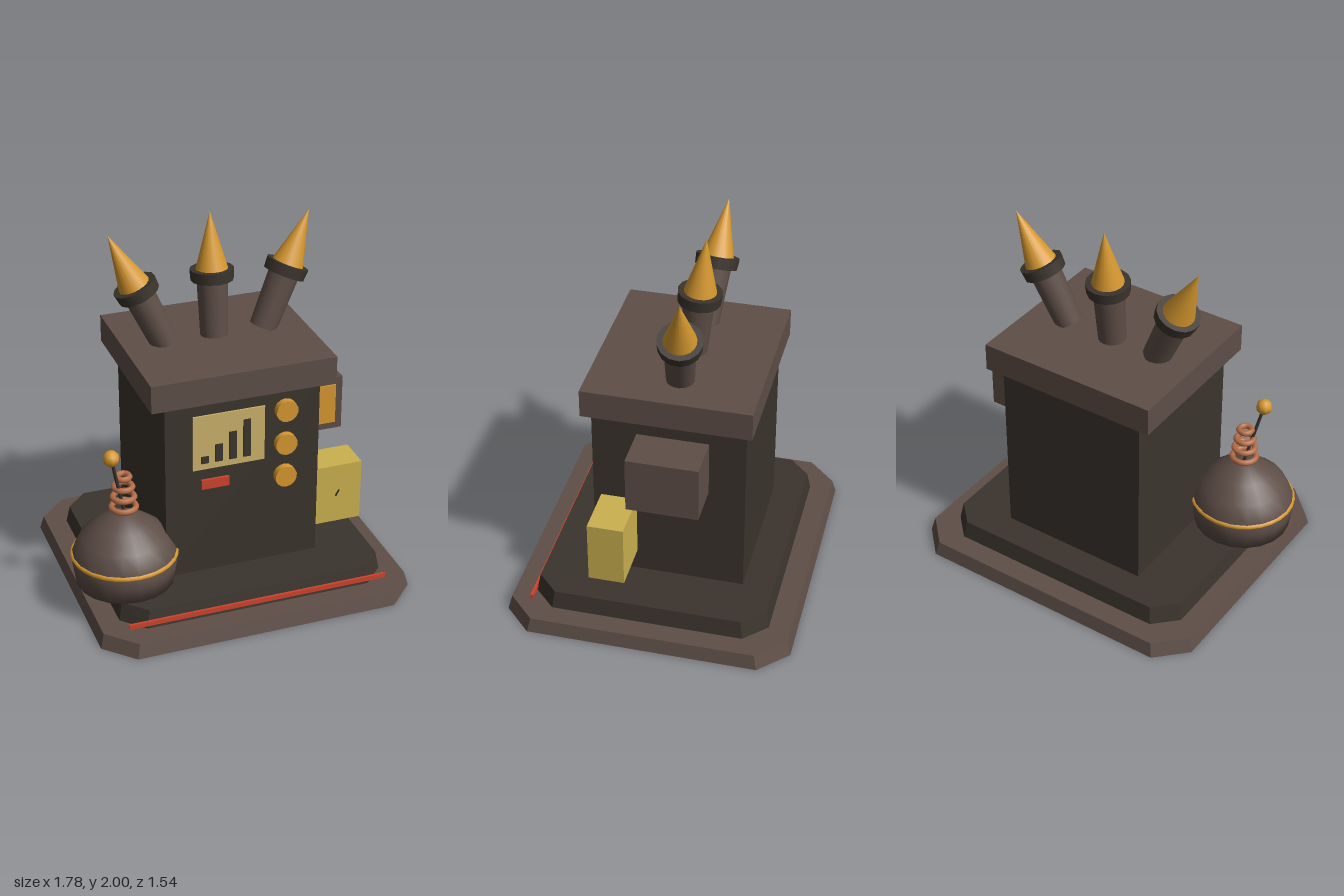
import * as THREE from 'three';

const mat = (name, color) => {
  const m = new THREE.MeshStandardMaterial({ color });
  m.name = name;
  return m;
};

export function createModel() {
  const brown = mat('brown metal', 0x5e4e47);
  const dark = mat('dark metal', 0x3b342d);
  const amber = mat('amber', 0xd6982f);
  const yellow = mat('yellow', 0xcab14e);
  const cream = mat('screen cream', 0xcbb26a);
  const red = mat('red', 0xcc432c);
  const copper = mat('copper', 0xb87049);

  const root = new THREE.Group();
  const add = (name, geo, material, x = 0, y = 0, z = 0, parent = root) => {
    const m = new THREE.Mesh(geo, material);
    m.name = name;
    m.position.set(x, y, z);
    parent.add(m);
    return m;
  };
  // Box given by its minimum and maximum corners
  const box = (name, material, [x0, y0, z0], [x1, y1, z1]) =>
    add(name, new THREE.BoxGeometry(x1 - x0, y1 - y0, z1 - z0), material,
      (x0 + x1) / 2, (y0 + y1) / 2, (z0 + z1) / 2);

  // Plinth tier: rectangle with cut corners, narrowing towards the top
  const tier = (name, material, hx, hz, cut, y, h, inset) => {
    const s = new THREE.Shape([
      [-hx + cut, -hz], [hx - cut, -hz], [hx, -hz + cut], [hx, hz - cut],
      [hx - cut, hz], [-hx + cut, hz], [-hx, hz - cut], [-hx, -hz + cut],
    ].map(([a, b]) => new THREE.Vector2(a, b)));
    const g = new THREE.ExtrudeGeometry(s, { depth: h, bevelEnabled: false });
    g.rotateX(-Math.PI / 2);
    const p = g.attributes.position;
    for (let i = 0; i < p.count; i++) {
      if (p.getY(i) > h / 2) {
        p.setX(i, p.getX(i) * (1 - inset / hx));
        p.setZ(i, p.getZ(i) * (1 - inset / hz));
      }
    }
    g.computeVertexNormals();
    add(name, g, material, 0.017, y, -0.005);
  };
  tier('lowerPlinth', brown, 0.865, 0.77, 0.152, 0, 0.077, 0.02);
  tier('upperPlinth', dark, 0.734, 0.634, 0.118, 0.077, 0.098, 0.018);
  box('plinthStripe', red, [-0.7, 0.096, 0.622], [0.732, 0.122, 0.636]);

  // Cabinet
  box('cabinet', dark, [-0.405, 0.175, -0.458], [0.44, 1.19, 0.352]);
  box('cabinetCap', brown, [-0.484, 1.185, -0.5], [0.516, 1.337, 0.389]);

  // Screen with bar chart, button and knobs
  box('screen', cream, [-0.257, 0.796, 0.352], [0.135, 1.108, 0.361]);
  [0.04, 0.1, 0.16, 0.217].forEach((h, i) => {
    const x = -0.214 + i * 0.0765;
    box('chartBar', dark, [x, 0.833, 0.361], [x + 0.041, 0.833 + h, 0.367]);
  });
  box('button', red, [-0.213, 0.68, 0.352], [-0.06, 0.733, 0.368]);
  for (const y of [1.067, 0.872, 0.68]) {
    add('knob', new THREE.CylinderGeometry(0.06, 0.06, 0.038, 14), amber, 0.249, y, 0.37)
      .rotation.x = Math.PI / 2;
  }

  // Boxes on the left side
  box('sideBox', brown, [0.44, 0.76, -0.265], [0.674, 1.066, 0.115]);
  box('sideBoxPanel', amber, [0.482, 0.8, 0.115], [0.634, 1.026, 0.124]);
  box('meterBox', yellow, [0.44, 0.297, 0.12], [0.715, 0.642, 0.312]);
  add('meterNeedle', new THREE.BoxGeometry(0.008, 0.04, 0.006), dark, 0.578, 0.473, 0.314)
    .rotation.z = -0.5;

  // Three fanned horns on the cap
  [[-0.26, 0.42], [0.015, 0], [0.29, -0.42]].forEach(([x, tilt]) => {
    const horn = new THREE.Group();
    horn.name = 'horn';
    horn.position.set(x, 1.337, -0.08);
    horn.rotation.set(-0.1, 0, tilt);
    root.add(horn);
    add('hornTube', new THREE.CylinderGeometry(0.083, 0.074, 0.32, 18), brown, 0, 0.16, 0, horn);
    add('hornCollar', new THREE.CylinderGeometry(0.117, 0.113, 0.06, 14), dark, 0, 0.332, 0, horn);
    add('hornTip', new THREE.ConeGeometry(0.085, 0.305, 18), amber, 0, 0.5145, 0, horn);
  });

  // Domed pot with band, coil and antenna
  const cx = -0.608, cz = 0.266;
  const profile = [[0, 0.175], [0.262, 0.175], [0.277, 0.27], [0.277, 0.34],
    [0.228, 0.44], [0.14, 0.51], [0.06, 0.56], [0, 0.566]];
  add('domePot', new THREE.LatheGeometry(profile.map(([r, y]) => new THREE.Vector2(r, y)), 20),
    brown, cx, 0, cz);
  const ring = (name, r, tube, y, material, x) =>
    add(name, new THREE.TorusGeometry(r, tube, 6, 28), material, x, y, cz)
      .rotation.x = Math.PI / 2;
  ring('domeBand', 0.272, 0.014, 0.333, amber, cx);
  [0.064, 0.056, 0.047, 0.034].forEach((r, i) =>
    ring('coilRing', r, 0.016, 0.605 + i * 0.059, copper, -0.605));

  const foot = new THREE.Vector3(-0.6, 0.55, cz), tip = new THREE.Vector3(-0.68, 0.932, 0.32);
  add('antennaRod', new THREE.TubeGeometry(new THREE.LineCurve3(foot, tip), 1, 0.009, 8), dark);
  add('antennaBall', new THREE.SphereGeometry(0.044, 8, 6), amber, tip.x, tip.y, tip.z);

  return root;
}
